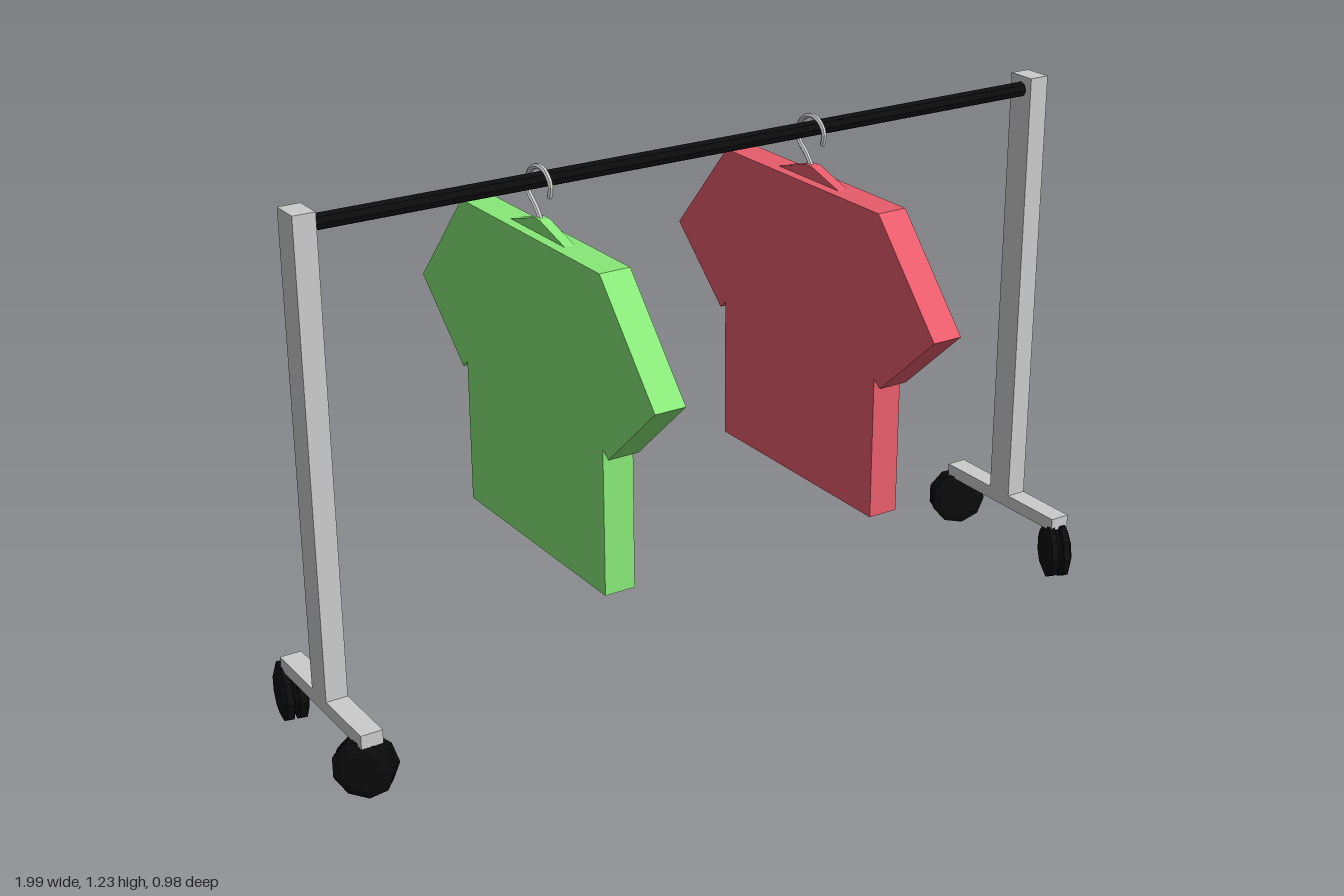
import * as THREE from 'three';

const mat = (color) => new THREE.MeshStandardMaterial({ color, flatShading: true });

function add(parent, name, geometry, material, x = 0, y = 0, z = 0) {
  const mesh = new THREE.Mesh(geometry, material);
  mesh.name = name;
  mesh.position.set(x, y, z);
  parent.add(mesh);
  return mesh;
}

// Extrude a (z, y) outline to a slab centred on x = 0
function slab(outline, thickness) {
  const shape = new THREE.Shape(outline.map(([z, y]) => new THREE.Vector2(z, y)));
  const geo = new THREE.ExtrudeGeometry(shape, { depth: thickness, bevelEnabled: false });
  return geo.translate(0, 0, -thickness / 2).rotateY(-Math.PI / 2);
}

export function createModel() {
  const model = new THREE.Group();
  model.name = 'clothesRack';
  const grey = mat(0xcccccc);
  const black = mat(0x0c0c0c);
  const middle = -0.015;

  // Twin caster wheel with a groove between its two treads
  const profile = [
    [0, -0.03], [0.048, -0.03], [0.068, -0.022], [0.068, -0.007], [0.056, -0.003],
    [0.056, 0.003], [0.068, 0.007], [0.068, 0.022], [0.048, 0.03], [0, 0.03],
  ].map(([r, y]) => new THREE.Vector2(r, y));
  const wheelGeo = new THREE.LatheGeometry(profile, 9).rotateZ(Math.PI / 2);

  // End frames: upright post, foot bar and two swivelled casters each
  const swivel = { left: [-0.46, 1.13], right: [0.85, -0.2] };
  for (const side of ['left', 'right']) {
    const x = side === 'left' ? 0.93 : -0.93;
    const frame = new THREE.Group();
    frame.name = side + 'EndFrame';
    frame.position.x = x;
    model.add(frame);
    add(frame, 'post', new THREE.BoxGeometry(0.05, 1.07, 0.07), grey, 0, 0.695, middle);
    add(frame, 'foot', new THREE.BoxGeometry(0.05, 0.032, 0.4), grey, 0, 0.146, middle);
    const cx = -0.004;
    const spots = side === 'left' ? [0.177, -0.205] : [0.153, -0.218];
    spots.forEach((z, i) => {
      const wheel = add(frame, i ? 'backCaster' : 'frontCaster', wheelGeo, black, cx, 0.072, z);
      wheel.rotation.y = swivel[side][i];
    });
  }

  // Hanging rail
  const railGeo = new THREE.CylinderGeometry(0.018, 0.018, 1.82, 8).rotateZ(Math.PI / 2);
  add(model, 'rail', railGeo, black, 0, 1.198, middle);

  // Half outline of a shirt from hem to shoulder, then mirrored
  const half = [[0.29, 0.38], [0.29, 0.714], [0.31, 0.696], [0.49, 0.86], [0.288, 1.09]];
  const mirrored = half.map(([z, y]) => [-z, y]).reverse();
  const shirtGeo = slab([...half, ...mirrored], 0.072);
  const hangerGeo = slab([[0.13, 1.085], [0.012, 1.12], [-0.012, 1.12], [-0.13, 1.085]], 0.024);

  // Hook curling over the rail
  const hookPath = new THREE.CatmullRomCurve3([
    [1.172, 0.034], [1.2, 0.04], [1.225, 0.018], [1.228, -0.018], [1.205, -0.05],
    [1.165, -0.053], [1.14, -0.025], [1.11, 0],
  ].map(([y, z]) => new THREE.Vector3(0, y, z)));
  const hookGeo = new THREE.TubeGeometry(hookPath, 20, 0.006, 6);

  for (const [name, x, color] of [['green', -0.395, 0x88e877], ['red', 0.295, 0xe85c6b]]) {
    const garment = new THREE.Group();
    garment.name = name + 'Garment';
    garment.position.x = x;
    model.add(garment);
    const cloth = mat(color);
    add(garment, 'shirt', shirtGeo, cloth);
    add(garment, 'collar', hangerGeo, cloth);
    add(garment, 'hangerHook', hookGeo, grey);
  }

  return model;
}
